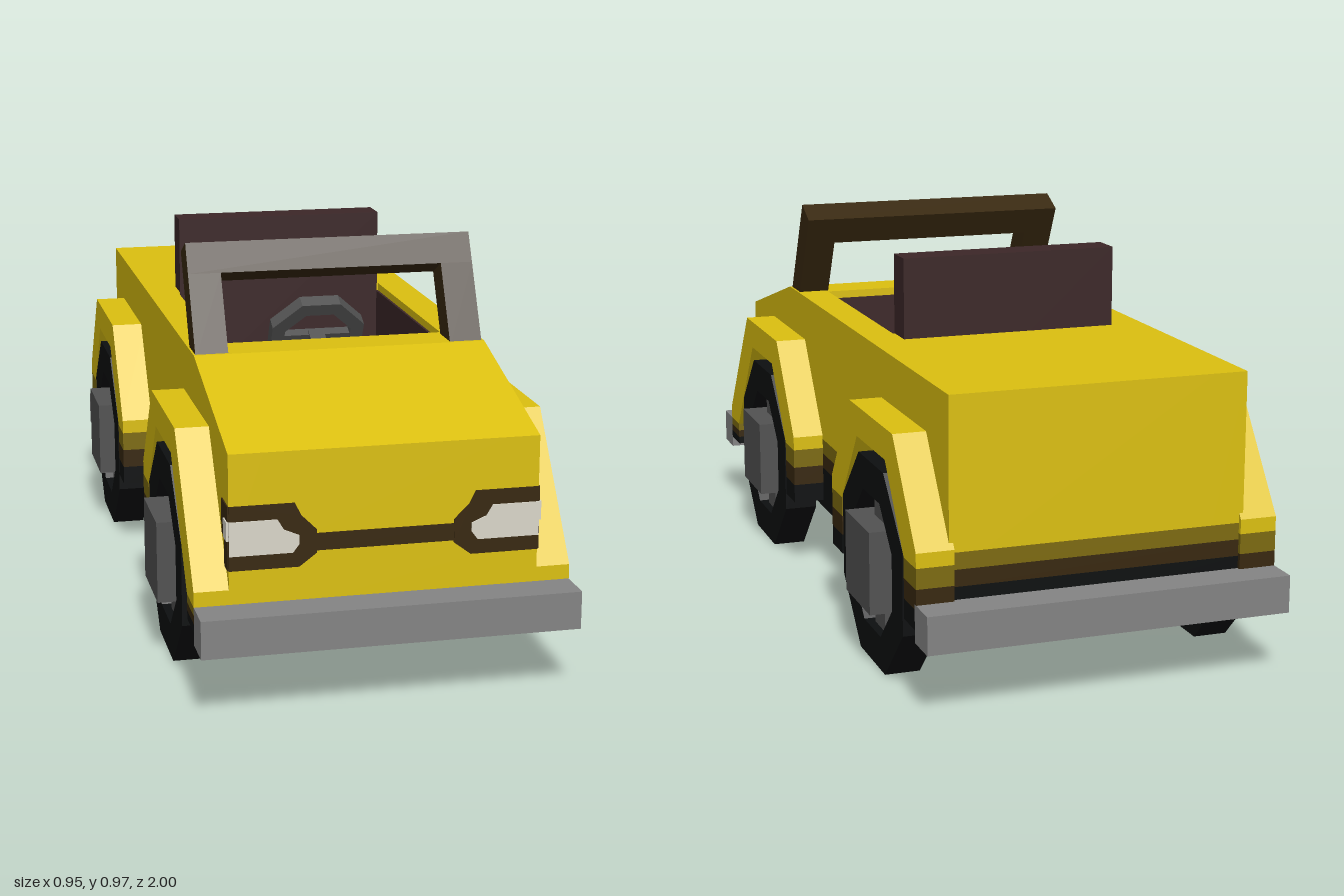
import * as THREE from 'three';

const mat = (name, color) => {
  const m = new THREE.MeshStandardMaterial({ color });
  m.name = name;
  return m;
};

export function createModel() {
  const yellow = mat('yellow paint', 0xdcc010);
  const ochre = mat('dark yellow trim', 0x7d6b10);
  const brown = mat('brown trim', 0x38280f);
  const black = mat('black rubber', 0x0d0f10);
  const steel = mat('bumper grey', 0x848484);
  const grey = mat('dark grey', 0x525252);
  const seatMat = mat('seat brown', 0x3c2728);
  const lampMat = mat('lamp white', 0xdad7ca);

  const car = new THREE.Group();
  car.name = 'openCar';

  const add = (name, geo, material, parent = car) => {
    const mesh = new THREE.Mesh(geo, material);
    mesh.name = name;
    parent.add(mesh);
  };
  // box from its minimum and maximum corners
  const box = (name, [x0, x1], [y0, y1], [z0, z1], material, parent) => {
    const geo = new THREE.BoxGeometry(x1 - x0, y1 - y0, z1 - z0);
    geo.translate((x0 + x1) / 2, (y0 + y1) / 2, (z0 + z1) / 2);
    add(name, geo, material, parent);
  };
  const toShape = (pts) => new THREE.Shape(pts.map(([a, b]) => new THREE.Vector2(a, b)));
  // (z, y) shape extruded from x0 to x1
  const slab = (name, shape, x0, x1, material, parent) => {
    const geo = new THREE.ExtrudeGeometry(shape, { depth: x1 - x0, bevelEnabled: false });
    geo.rotateY(-Math.PI / 2).translate(x1, 0, 0);
    add(name, geo, material, parent);
  };
  const octagon = (apothem, cz, cy) => Array.from({ length: 8 }, (_, i) => {
    const a = (i + 0.5) * Math.PI / 4, r = apothem / Math.cos(Math.PI / 8);
    return [cz + r * Math.cos(a), cy + r * Math.sin(a)];
  });
  const octRing = (outer, inner, cz, cy) => {
    const s = toShape(octagon(outer, cz, cy));
    s.holes.push(toShape(octagon(inner, cz, cy)));
    return s;
  };
  const range = (s, a, b) => s > 0 ? [a, b] : [-b, -a];

  // upper body around the open cockpit
  const W = 0.36, IN = 0.28, BACK = -0.24, DASH = 0.37;
  const nose = [[0.91, 0.36], [0.91, 0.6], [0.48, 0.72]];
  for (const s of [1, -1]) {
    slab('bodySide', toShape([[-0.91, 0.36], ...nose, [-0.91, 0.72]]), ...range(s, IN, W), yellow);
  }
  slab('hood', toShape([[DASH, 0.36], ...nose, [DASH, 0.72]]), -IN, IN, yellow);
  box('rearDeck', [-IN, IN], [0.36, 0.72], [-0.91, BACK], yellow);

  // lower body bands and nose underside
  box('upperSill', [-W, W], [0.32, 0.36], [-0.91, 0.76], ochre);
  box('middleSill', [-W, W], [0.28, 0.32], [-0.91, 0.76], brown);
  box('underbody', [-W, W], [0.17, 0.28], [-0.91, 0.76], black);
  slab('lowerNose', toShape([[0.76, 0.17], [0.91, 0.2], [0.91, 0.36], [0.76, 0.36]]), -W, W, yellow);

  // cockpit lining, seat and floor
  box('cockpitFloor', [-IN, IN], [0.36, 0.42], [BACK, DASH], seatMat);
  box('seatCushion', [-0.275, 0.275], [0.42, 0.52], [BACK, 0.03], seatMat);
  box('seatBack', [-0.275, 0.275], [0.42, 0.92], [-0.315, -0.235], seatMat);
  box('dashLining', [-IN, IN], [0.42, 0.7], [DASH - 0.008, DASH], seatMat);
  for (const s of [1, -1]) {
    box('sideLining', range(s, IN - 0.006, IN), [0.42, 0.7], [BACK, DASH], seatMat);
  }

  // windscreen frame leaning back
  const frame = new THREE.Group();
  frame.name = 'windscreenFrame';
  frame.position.set(0, 0.72, 0.43);
  frame.rotation.x = -0.47;
  car.add(frame);
  for (const s of [1, -1]) {
    box('windscreenPost', range(s, 0.275, 0.355), [-0.03, 0.18], [-0.037, 0.037], brown, frame);
  }
  box('windscreenTopBar', [-0.355, 0.355], [0.18, 0.258], [-0.037, 0.037], brown, frame);

  // steering wheel tilted toward the driver
  const steering = new THREE.Group();
  steering.name = 'steeringWheel';
  steering.position.set(0, 0.685, 0.2);
  steering.rotation.x = 0.49;
  car.add(steering);
  const rim = new THREE.ExtrudeGeometry(octRing(0.118, 0.085, 0, 0), { depth: 0.036, bevelEnabled: false });
  add('steeringRim', rim.translate(0, 0, -0.018), grey, steering);
  box('steeringSpoke', [-0.09, 0.09], [-0.016, 0.016], [-0.012, 0.012], grey, steering);
  box('steeringColumn', [-0.02, 0.02], [-0.02, 0.02], [0, 0.17], grey, steering);

  // bumpers
  box('frontBumper', [-0.44, 0.44], [0.16, 0.25], [0.91, 1], steel);
  box('rearBumper', [-0.44, 0.44], [0.16, 0.25], [-1, -0.91], steel);

  // grille strip and headlights on the nose
  box('grilleStrip', [-0.17, 0.17], [0.365, 0.405], [0.906, 0.914], brown);
  const plate = (name, pts, s, z, material) => {
    const outline = pts.map(([x, y]) => [s * x, y]);
    const geo = new THREE.ExtrudeGeometry(toShape(outline), { depth: 0.004, bevelEnabled: false });
    add(name, geo.translate(0, 0, z), material);
  };
  for (const s of [1, -1]) {
    plate('headlightSurround', [[0.36, 0.33], [0.36, 0.48], [0.21, 0.48], [0.195, 0.45],
      [0.16, 0.415], [0.16, 0.36], [0.2, 0.33]], s, 0.911, brown);
    plate('headlight', [[0.36, 0.365], [0.36, 0.445], [0.25, 0.445], [0.235, 0.42],
      [0.2, 0.405], [0.2, 0.385], [0.215, 0.365]], s, 0.914, lampMat);
    box('surroundSide', range(s, 0.358, 0.363), [0.4, 0.48], [0.84, 0.911], brown);
    box('surroundSideLow', range(s, 0.358, 0.363), [0.33, 0.4], [0.87, 0.911], brown);
    box('headlightSide', range(s, 0.36, 0.366), [0.4, 0.445], [0.875, 0.914], lampMat);
  }

  // wheels and fenders: centre z, front end z, front end height
  const axles = [['front', 0.5, 0.91, 0.285], ['rear', -0.575, -0.23, 0.37]];
  for (const s of [1, -1]) {
    for (const [label, c, end, endY] of axles) {
      const wheel = new THREE.Group();
      wheel.name = label + 'Wheel';
      car.add(wheel);
      slab('tyre', octRing(0.245, 0.163, c, 0.245), ...range(s, 0.355, 0.44), black, wheel);
      box('hub', range(s, 0.32, 0.475), [0.15, 0.35], [c - 0.1, c + 0.1], grey, wheel);
      box('wheelSpoke', range(s, 0.37, 0.42), [0.08, 0.41], [c - 0.04, c + 0.04], grey, wheel);

      const low = endY - 0.035, tail = c - 0.345;
      slab(label + 'Fender', toShape([
        [end, low], [end, endY], [c + 0.175, 0.6], [c - 0.175, 0.6], [tail, 0.37], [tail, 0.335],
        [tail + 0.09, 0.335], [c - 0.115, 0.525], [c + 0.115, 0.525], [end - 0.09, low],
      ]), ...range(s, 0.35, 0.44), yellow);
      // banded fender feet
      for (const [z0, z1, top] of [[end - 0.09, end, low], [tail, tail + 0.09, 0.335]]) {
        const h = (top - 0.19) / 3;
        [ochre, brown, black].forEach((m, i) =>
          box('fenderFoot', range(s, 0.35, 0.44), [top - (i + 1) * h, top - i * h], [z0, z1], m));
      }
    }
  }
  return car;
}
